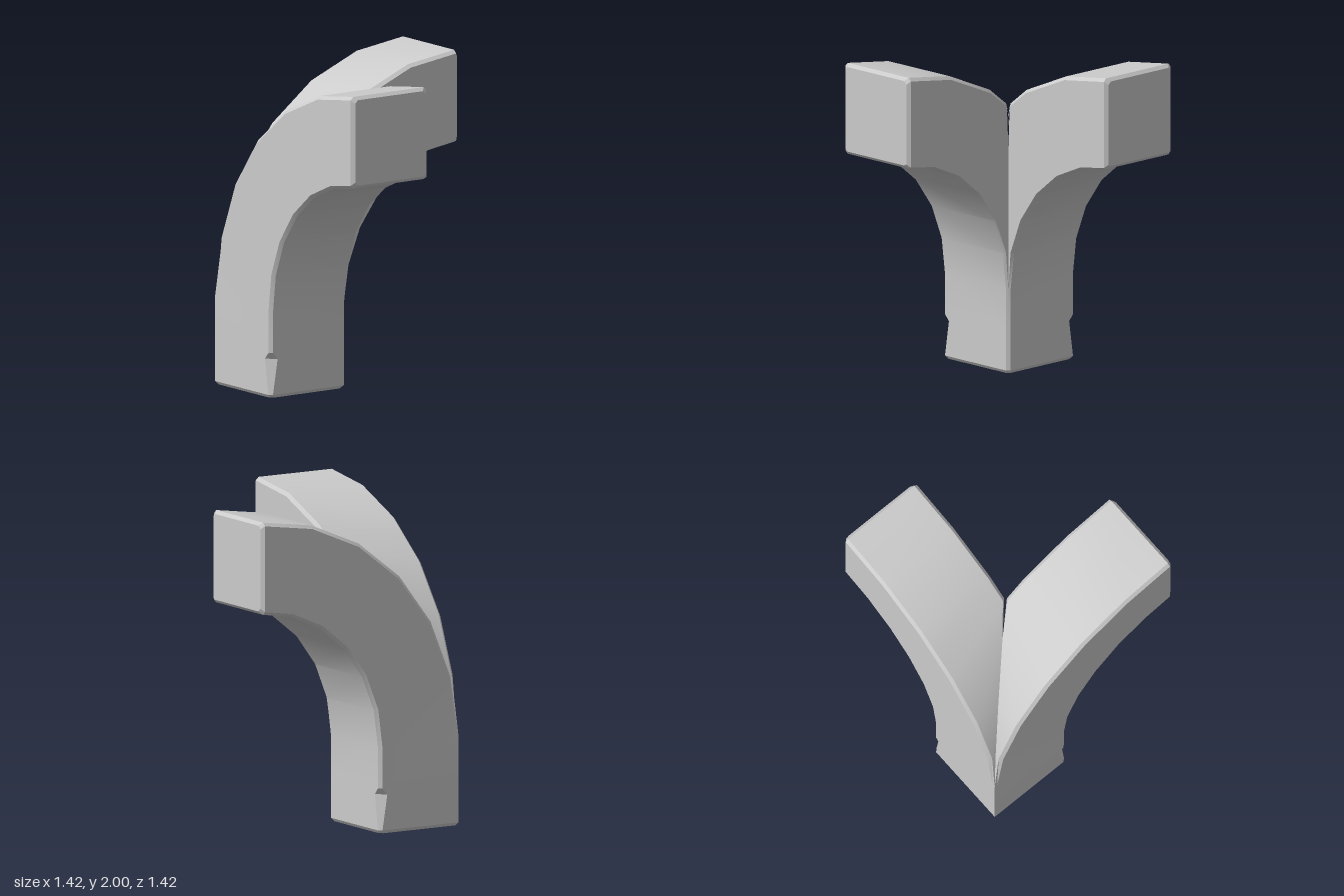
import * as THREE from 'three';
import { toCreasedNormals } from 'three/addons/utils/BufferGeometryUtils.js';

const LOW = -0.71, IN = -0.14, END = 0.71; // outer wall, inner wall, arm end
const BEVEL = 0.02;

// Cross-sections from the foot up and along the arch:
// outer and inner edge as [along, height], s = inset, c = chamfer of the inner back edge
function archSections() {
  const list = [];
  const add = (o, i, s = 0, c = BEVEL) => list.push({ o, i, s, c });

  // foot, with a small notch above it
  add([LOW + 0.015, 0], [IN - 0.015, 0], 0.015);
  add([LOW, 0.02], [IN, 0.02]);
  add([LOW, 0.24], [IN, 0.24], 0, 0.055);
  add([LOW, 0.28], [IN, 0.28]);

  // quarter ellipses in 15 degree steps
  const outer = a => [END - 1.42 * Math.cos(a), 0.55 + 1.45 * Math.sin(a)];
  const inner = a => [END - 0.85 * Math.cos(a), 0.53 + 0.9 * Math.sin(a)];
  const mix = (p, q, f) => [p[0] + (q[0] - p[0]) * f, p[1] + (q[1] - p[1]) * f];
  for (let k = 0; k < 6; k++) {
    const a = k * Math.PI / 12, b = a + Math.PI / 12;
    add(outer(a), inner(a));
    // extra section where the top leaves the post
    const o = outer(a), n = outer(b);
    if (o[0] < IN && n[0] > IN) {
      const f = (IN - o[0]) / (n[0] - o[0]);
      add(mix(o, n, f), mix(inner(a), inner(b), f));
    }
  }

  // rounded end of the arm
  add([END - 0.02, 2], [END - 0.02, 1.43]);
  add([END, 1.98], [END, 1.45], 0.02);
  return list;
}

// Ring of points round one section; the front side is mitred along x = z
function sectionRing({ o, i, s, c }) {
  const d = Math.hypot(i[0] - o[0], i[1] - o[1]);
  const b = BEVEL / d;
  const front = IN - s, back = LOW + s;
  const run = i[0] - o[0];
  const cross = Math.abs(run) > 1e-6 ? (IN - o[0]) / run : 0;
  const mid = o[0] >= IN - 1e-6 ? b : THREE.MathUtils.clamp(cross, b, 1 - b / 2);
  return [
    [0, back + BEVEL], [0, front - BEVEL], [b, front], [mid, front], [1 - b / 2, front],
    [1, front - BEVEL], [1, back + c], [1 - c / d, back], [b, back],
  ].map(([t, z]) => {
    const x = o[0] + run * t;
    return new THREE.Vector3(x, o[1] + (i[1] - o[1]) * t, Math.min(z, x));
  });
}

// Half of the post with its arm; swapped = the arm that runs to the front
function archGeometry(swapped) {
  const rings = archSections().map(sectionRing);
  const n = rings[0].length;
  const pos = [];
  const tri = (a, b, c) => {
    const area = b.clone().sub(a).cross(c.clone().sub(a)).length();
    if (area < 1e-8) return;
    for (const p of swapped ? [a, c, b] : [a, b, c]) {
      pos.push(swapped ? p.z : p.x, p.y, swapped ? p.x : p.z);
    }
  };
  for (let r = 0; r < rings.length - 1; r++) {
    for (let j = 0; j < n; j++) {
      if (j === 2) continue; // hidden mitre between the two halves
      const k = (j + 1) % n;
      const a = rings[r], b = rings[r + 1];
      tri(a[j], a[k], b[k]);
      tri(a[j], b[k], b[j]);
    }
  }
  // foot and end caps
  const first = rings[0], last = rings[rings.length - 1];
  for (let j = 1; j < n - 1; j++) {
    tri(first[0], first[j + 1], first[j]);
    tri(last[0], last[j], last[j + 1]);
  }
  const geometry = new THREE.BufferGeometry();
  geometry.setAttribute('position', new THREE.Float32BufferAttribute(pos, 3));
  return toCreasedNormals(geometry, 0.5);
}

export function createModel() {
  const group = new THREE.Group();
  group.name = 'cornerBracket';
  const material = new THREE.MeshStandardMaterial({ color: 0xcccccc });
  for (const [name, swapped] of [['sideArch', false], ['frontArch', true]]) {
    const mesh = new THREE.Mesh(archGeometry(swapped), material);
    mesh.name = name;
    group.add(mesh);
  }
  return group;
}
